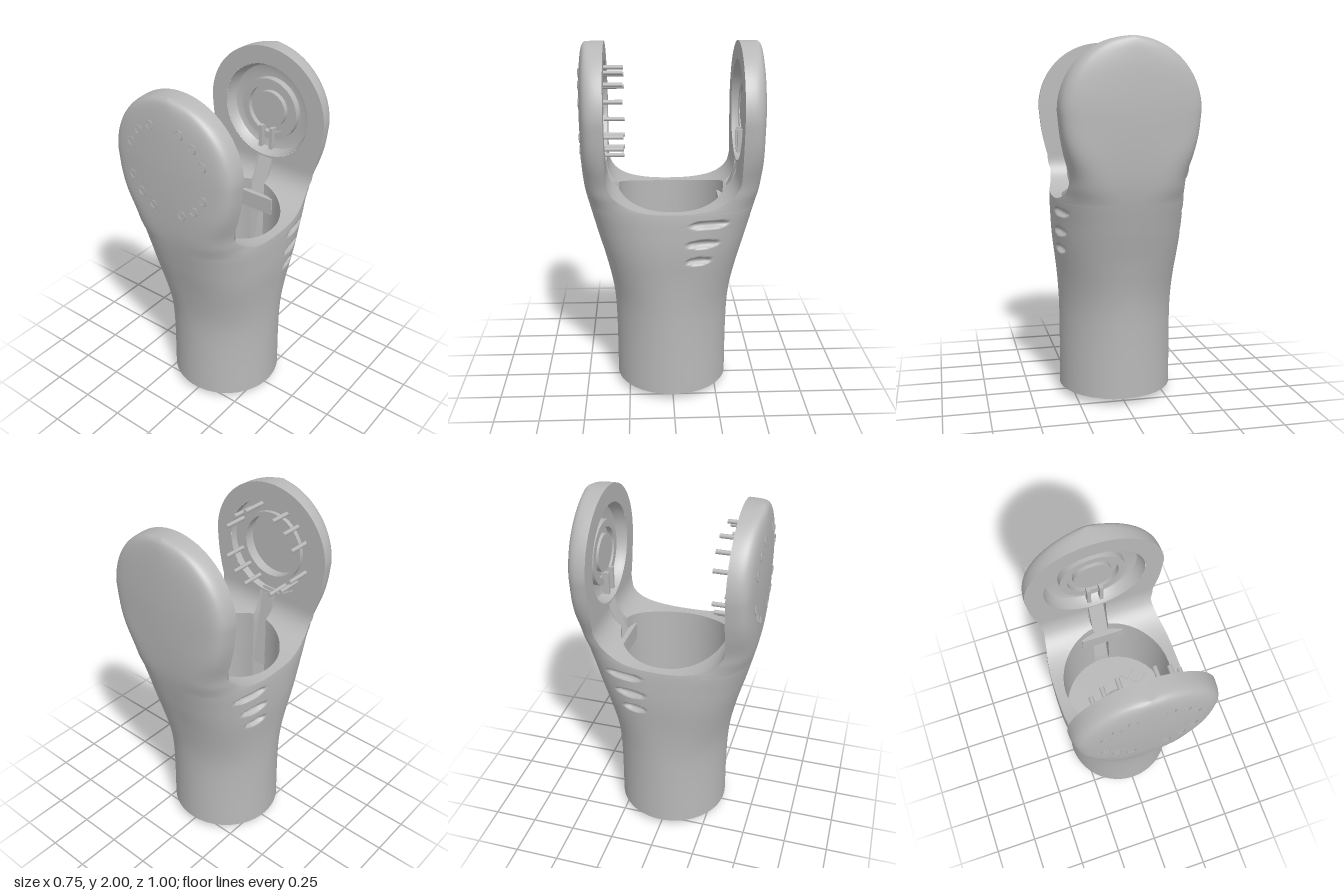
import * as THREE from 'three';
import { mergeGeometries, mergeVertices, toCreasedNormals } from 'three/addons/utils/BufferGeometryUtils.js';

const HEAD_Y = 1.625, INNER_Z = 0.36, SADDLE_Y = 1.14, U_HEIGHT = 0.2, FLOOR_Y = 0.7, WELL_R = 0.3;
const COLS = 192;

// Smooth interpolation through a short [y, value] table
function sample(table, y) {
  const n = table.length;
  if (y <= table[0][0]) return table[0][1];
  if (y >= table[n - 1][0]) return table[n - 1][1];
  let i = 0;
  while (y > table[i + 1][0]) i++;
  const slope = (k) => {
    const a = table[Math.max(k - 1, 0)], b = table[Math.min(k + 1, n - 1)];
    return (b[1] - a[1]) / (b[0] - a[0]);
  };
  const [y0, v0] = table[i], [y1, v1] = table[i + 1];
  const h = y1 - y0, t = (y - y0) / h, t2 = t * t, t3 = t2 * t;
  return v0 * (2 * t3 - 3 * t2 + 1) + slope(i) * h * (t3 - 2 * t2 + t)
    + v1 * (3 * t2 - 2 * t3) + slope(i + 1) * h * (t3 - t2);
}

const WIDTH = [[0, 0.32], [0.5, 0.32], [0.7, 0.33], [0.9, 0.35], [1.02, 0.355], [1.14, 0.353], [1.2, 0.339], [1.28, 0.331], [1.4, 0.35], [1.5, 0.366], [1.625, 0.378]];
const DEPTH = [[0, 0.32], [0.4, 0.322], [0.6, 0.335], [0.8, 0.375], [1.0, 0.428], [1.2, 0.474], [1.35, 0.49], [1.6, 0.5], [1.8, 0.497], [1.92, 0.489], [1.98, 0.478], [2.0, 0.462]];
const SQUARENESS = [[0, 2], [0.5, 2], [0.8, 2.4], [1.14, 3], [1.22, 4], [1.34, 6], [1.55, 12], [2, 12]];

const halfX = (y) => (y <= HEAD_Y ? sample(WIDTH, y)
  : 0.378 * Math.sqrt(Math.max(1e-8, 1 - ((y - HEAD_Y) / 0.375) ** 2)));
const halfZ = (y) => sample(DEPTH, y);
const power = (y) => sample(SQUARENESS, y);

// Slight crown of the outer prong faces
function crown(x, y, z) {
  const k = Math.max(0, power(y) - 3) / 9, out = (Math.abs(z) - INNER_Z) / (halfZ(y) - INNER_Z);
  return z - Math.sign(z) * 0.032 * k * (x / halfX(y)) ** 2 * Math.max(0, out);
}

// Point on the rounded-square cross-section at height y, direction a
function sectionPoint(y, a) {
  const n = power(y), c = Math.cos(a), s = Math.sin(a);
  const r = (Math.abs(c) ** n + Math.abs(s) ** n) ** (-1 / n);
  const x = halfX(y) * r * c;
  return [x, y, crown(x, y, halfZ(y) * r * s)];
}

// Height of the U-shaped saddle at depth z
function saddleHeight(z) {
  const s = Math.min(1, (Math.abs(z) / INNER_Z) ** 1.25);
  return SADDLE_Y + U_HEIGHT * (1 - (1 - s * s) ** 0.4);
}

// Surface through rows of points, rows up and columns counter-clockwise
function grid(rows) {
  const cols = rows[0].length, index = [];
  for (let j = 0; j < rows.length - 1; j++) {
    for (let i = 0; i < cols - 1; i++) {
      const a = j * cols + i, b = a + 1, c = a + cols, d = c + 1;
      index.push(a, c, b, b, c, d);
    }
  }
  const g = new THREE.BufferGeometry();
  g.setAttribute('position', new THREE.Float32BufferAttribute(rows.flat(2), 3));
  g.setIndex(index);
  return g;
}

function smooth(geometries) {
  const g = mergeVertices(mergeGeometries(geometries), 1e-4);
  g.computeVertexNormals();
  return g;
}

const lathe = (pts, segments = 64) => toCreasedNormals(
  new THREE.LatheGeometry(pts.map(([r, y]) => new THREE.Vector2(r, y)), segments), 0.6);

// Gill-shaped vents pressed into both sides: centre y, centre z, half length
const VENTS = [[1.08, -0.19, 0.105], [0.97, -0.155, 0.088], [0.87, -0.135, 0.068]];
function pressVents([x, y, z]) {
  let d = 0;
  for (const [vy, vz, len] of VENTS) {
    d = Math.max(d, 1 - ((z - vz) / len) ** 2 - ((y - vy) / 0.022) ** 2);
  }
  return [x - Math.sign(x) * 0.026 * Math.sqrt(d), y, z];
}

// Prong rows: the U-shaped saddle first, then straight up and round the head
function prongRows() {
  const levels = [];
  for (let k = 0; k <= 16; k++) {
    const z = INNER_Z * Math.sin(k / 16 * Math.PI / 2) ** 0.8;
    levels.push([saddleHeight(z), z]);
  }
  const start = SADDLE_Y + U_HEIGHT;
  for (let k = 1; k <= 10; k++) levels.push([start + (HEAD_Y - start) * k / 10, INNER_Z]);
  for (let k = 1; k <= 24; k++) levels.push([HEAD_Y + 0.375 * Math.sin(k / 24 * Math.PI / 2), INNER_Z]);
  return levels.map(([y, zIn]) => {
    const zn = zIn / halfZ(y), n = power(y);
    const a0 = Math.atan2(zn, (1 - zn ** n) ** (1 / n));
    const row = [];
    for (let i = 0; i <= COLS / 2; i++) row.push(sectionPoint(y, a0 + (Math.PI - 2 * a0) * i / (COLS / 2)));
    return row;
  });
}

export function createModel() {
  const grey = new THREE.MeshStandardMaterial({ color: 0xb8b8b8 });
  grey.name = 'grey';
  const model = new THREE.Group();
  model.name = 'forkedArmLink';
  const add = (name, geometry, x = 0, y = 0, z = 0) => {
    const m = new THREE.Mesh(geometry, grey);
    m.name = name;
    m.position.set(x, y, z);
    model.add(m);
    return m;
  };

  // Outer shell: round base growing into two prongs
  const bodyRows = [];
  for (let j = 0; j <= 65; j++) {
    const y = j < 20 ? 0.04 + 0.76 * j / 20 : 0.8 + (SADDLE_Y - 0.8) * (j - 20) / 45;
    const row = [];
    for (let i = 0; i <= COLS; i++) row.push(pressVents(sectionPoint(y, i / COLS * Math.PI * 2)));
    bodyRows.push(row);
  }
  const rows = prongRows();
  const turn = ([x, y, z]) => [-x, y, -z];
  const turnRows = (list) => list.map((r) => r.map(turn));
  add('outerShell', smooth([grid(bodyRows), grid(rows), grid(turnRows(rows))]));

  // U-shaped saddle floor around the round well, split by a cable slot at each prong
  const saddle = rows.slice(0, 17), xe = saddle[16][0][0], yTop = saddle[16][0][1];
  const across = (i) => [xe * (1 - i / 12), yTop, INNER_Z];
  const rightEdge = saddle.map((r) => r[0]), leftEdge = [];
  for (let i = 1; i <= 10; i++) rightEdge.push(across(i));
  for (let i = 14; i < 24; i++) leftEdge.push(across(i));
  for (let j = 16; j >= 1; j--) leftEdge.push(saddle[j][COLS / 2]);
  const side = [...leftEdge, ...rightEdge.map(turn)];
  const saddleRows = [];
  for (let j = 0; j <= 14; j++) {
    const t = (j / 14) ** 2.5;
    saddleRows.push(side.map(([x, , z]) => {
      const a = Math.atan2(z, x);
      const zt = z + (WELL_R * Math.sin(a) - z) * t;
      return [x + (WELL_R * Math.cos(a) - x) * t, saddleHeight(zt), zt];
    }));
  }
  const wellRows = [saddleRows[14]];
  for (const y of [1.1, 1.0, 0.9, 0.8, FLOOR_Y]) wellRows.push(saddleRows[14].map(([x, , z]) => [x, y, z]));
  add('saddleFloor', smooth([grid(saddleRows), grid(turnRows(saddleRows))]));
  add('wellWall', smooth([grid(wellRows), grid(turnRows(wellRows))]));

  // Cable slots running from the well up into each prong
  const slotRows = [...saddleRows, ...wellRows.slice(1)].map((r) => {
    const [x, y, z] = r[0], deep = Math.min(0.42, halfZ(y) - 0.03);
    return [[-x, y, z], [-x, y, deep], [x, y, deep], [x, y, z]];
  });
  add('frontCableSlot', toCreasedNormals(grid(slotRows), 0.6));
  add('backCableSlot', toCreasedNormals(grid(turnRows(slotRows)), 0.6));

  // Well floor, through bore and base spigot
  add('floorAndBase', lathe([[WELL_R, FLOOR_Y], [0.07, FLOOR_Y], [0.07, 0], [0.228, 0], [0.228, 0.04], [0.32, 0.04]]));
  add('boreCollar', lathe([[0.125, 0], [0.125, 0.03], [0.085, 0.03]], 12), 0, FLOOR_Y, 0);
  add('boreLip', lathe([[0.085, 0], [0.085, 0.045], [0.07, 0.045], [0.07, 0]], 24), 0, FLOOR_Y, 0);
  for (const [x, z] of [[0.12, -0.18], [0.18, -0.13]]) {
    add('floorPad', new THREE.BoxGeometry(0.1, 0.006, 0.06), x, FLOOR_Y + 0.003, z).rotation.y = Math.PI / 4;
  }
  for (let i = 0; i < 8; i++) {
    const a = (i + 0.5) * Math.PI / 4;
    add('baseScrew', new THREE.CylinderGeometry(0.016, 0.016, 0.006, 6), 0.275 * Math.cos(a), 0.038, 0.275 * Math.sin(a));
  }

  // Inner prong faces with a round recess each
  const upper = rows.slice(16);
  const outline = [...upper.map((r) => r[0]), ...upper.slice(0, -1).reverse().map((r) => r[COLS / 2])];
  const face = new THREE.Shape(outline.map(([x, y]) => new THREE.Vector2(x, y)));
  face.holes.push(new THREE.Path().absarc(0, HEAD_Y, 0.275, 0, Math.PI * 2, true));
  const faceGeometry = new THREE.ShapeGeometry(face, 64);
  add('frontInnerFace', faceGeometry, 0, 0, INNER_Z).rotation.y = Math.PI;
  add('backInnerFace', faceGeometry, 0, 0, -INNER_Z);
  add('frontRecess', lathe([[0.275, 0], [0.275, -0.045], [0.2, -0.045], [0.2, -0.02], [0.18, -0.02],
    [0.18, -0.08], [0, -0.08]]), 0, HEAD_Y, INNER_Z).rotation.x = -Math.PI / 2;
  add('backRecess', lathe([[0.275, 0], [0.268, -0.03], [0.25, -0.06], [0.22, -0.07], [0.18, -0.07], [0.18, -0.03],
    [0.14, -0.03], [0.14, -0.06], [0.105, -0.06], [0.105, -0.03], [0, -0.03]]), 0, HEAD_Y, -INNER_Z).rotation.x = Math.PI / 2;

  // Twelve bolts through the front prong: hex sockets outside, pins inside
  for (const sx of [-1, 1]) {
    for (const sy of [-1, 1]) {
      for (const [dx, dy] of [[0.092, 0.223], [0.168, 0.172], [0.224, 0.093]]) {
        const x = sx * dx, y = HEAD_Y + sy * dy, n = power(y);
        const z = crown(x, y, halfZ(y) * (1 - (dx / halfX(y)) ** n) ** (1 / n));
        add('boltSocket', new THREE.TorusGeometry(0.024, 0.004, 4, 6), x, y, z);
        add('boltPin', new THREE.CylinderGeometry(0.012, 0.012, 0.18, 10), x, y, 0.35).rotation.x = Math.PI / 2;
      }
    }
  }

  // Cable guides: a clip with bracket at the back, a slanted strip at the front
  add('backBracket', new THREE.BoxGeometry(0.24, 0.1, 0.035), 0, 1.08, -0.283);
  add('backStrut', new THREE.BoxGeometry(0.085, 0.25, 0.03), 0, 1.22, -0.343).rotation.x = -0.36;
  for (const sx of [-1, 1]) add('backClip', new THREE.BoxGeometry(0.02, 0.13, 0.04), sx * 0.035, 1.46, -0.382);
  add('frontStrip', new THREE.BoxGeometry(0.08, 0.5, 0.015), 0, 1.12, 0.342).rotation.x = 0.15;
  return model;
}
